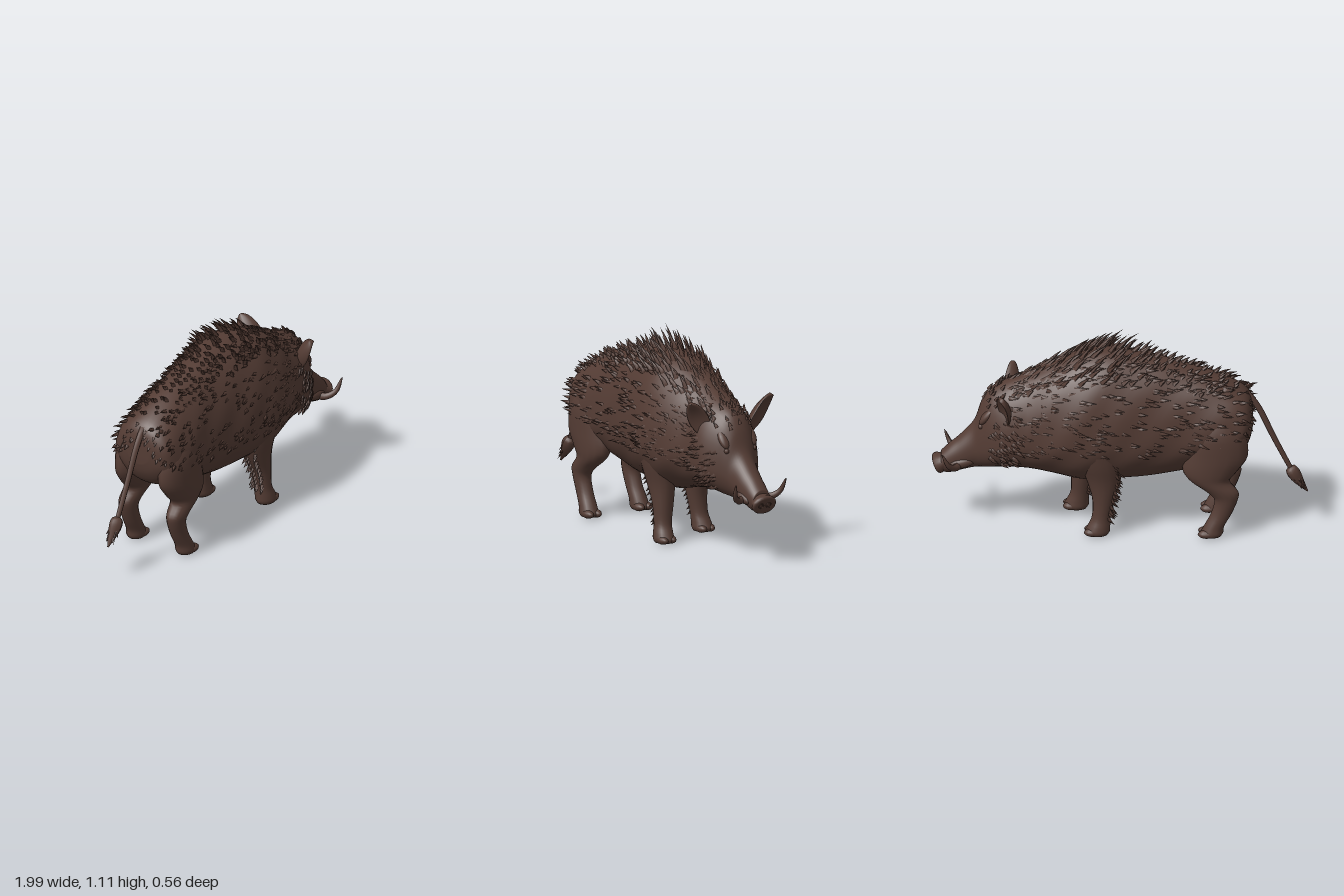
import * as THREE from 'three';
import { mergeGeometries } from 'three/addons/utils/BufferGeometryUtils.js';

const V = (x, y, z) => new THREE.Vector3(x, y, z);
const hide = new THREE.MeshStandardMaterial({ color: 0x543c34 });
hide.name = 'brown hide';

let seed = 7;
const rnd = (a = 0, b = 1) => {
  seed = (seed * 16807) % 2147483647;
  return a + (b - a) * seed / 2147483647;
};

// Joins geometries after dropping their unused texture coordinates
const merge = list => mergeGeometries(list.map(g => g.deleteAttribute('uv')));

// Catmull-Rom interpolation between rows of numbers
function spline(rows, steps) {
  const out = [], at = i => rows[Math.max(0, Math.min(rows.length - 1, i))];
  for (let i = 0; i < rows.length - 1; i++) for (let s = 0; s < steps; s++) {
    const t = s / steps;
    out.push(rows[i].map((p1, k) => {
      const p0 = at(i - 1)[k], p2 = at(i + 1)[k], p3 = at(i + 2)[k];
      return p1 + 0.5 * t * (p2 - p0 + t * (2 * p0 - 5 * p1 + 4 * p2 - p3 + t * (3 * (p1 - p2) + p3 - p0)));
    }));
  }
  out.push(rows[rows.length - 1]);
  return out;
}

// Closed skin over rings that run counter-clockwise about the loft direction
function loft(rings) {
  const n = rings[0].length, pos = rings.flat().flatMap(p => [p.x, p.y, p.z]), idx = [];
  for (let i = 0; i < rings.length - 1; i++) for (let j = 0; j < n; j++) {
    const a = i * n + j, b = i * n + (j + 1) % n;
    idx.push(a, b, a + n, b, b + n, a + n);
  }
  [0, rings.length - 1].forEach((r, end) => {
    const c = V(0, 0, 0), ci = pos.length / 3;
    rings[r].forEach(p => c.addScaledVector(p, 1 / n));
    pos.push(c.x, c.y, c.z);
    for (let j = 0; j < n; j++) {
      const a = r * n + j, b = r * n + (j + 1) % n;
      idx.push(...(end ? [ci, a, b] : [ci, b, a]));
    }
  });
  const g = new THREE.BufferGeometry();
  g.setAttribute('position', new THREE.Float32BufferAttribute(pos, 3));
  g.setIndex(idx);
  g.computeVertexNormals();
  return g;
}
const circle = (n, f) => Array.from({ length: n }, (_, j) => f(j / n * Math.PI * 2));

// Body and head stations: x, top, bottom, half width, height of widest point
const stations = spline([
  [-0.705, 0.71, 0.57, 0.07, 0.64], [-0.685, 0.77, 0.5, 0.15, 0.62], [-0.63, 0.82, 0.43, 0.19, 0.6],
  [-0.5, 0.885, 0.37, 0.208, 0.57], [-0.33, 0.94, 0.33, 0.207, 0.57], [-0.15, 0.985, 0.295, 0.222, 0.56],
  [0.05, 1.015, 0.28, 0.25, 0.55], [0.2, 0.995, 0.275, 0.26, 0.55], [0.35, 0.935, 0.31, 0.235, 0.54],
  [0.48, 0.87, 0.33, 0.198, 0.52], [0.6, 0.82, 0.335, 0.182, 0.5], [0.68, 0.775, 0.325, 0.145, 0.48],
  [0.73, 0.7, 0.32, 0.108, 0.46], [0.77, 0.585, 0.315, 0.084, 0.43], [0.84, 0.5, 0.297, 0.072, 0.39],
  [0.9, 0.445, 0.28, 0.064, 0.36], [0.945, 0.4, 0.285, 0.056, 0.34]], 5);

function skin([x, top, bot, w, mid], a) {
  const c = Math.cos(a), s = Math.sin(a);
  const lump = x < 0.5 ? 1 + 0.025 * Math.sin(x * 17 + 3 * a) * Math.sin(a * 4 + x * 9) : 1;
  return V(x, mid + c * (c > 0 ? top - mid : mid - bot), w * s * lump);
}
const stationAt = x => stations.find(s => s[0] >= x);

// One curved bristle, bending towards the tail
function bristle(p, dir, len, r, bend = 0.2) {
  const g = new THREE.ConeGeometry(r, len, 4, 3, true).translate(0, len / 2, 0);
  const q = g.attributes.position;
  for (let i = 0; i < q.count; i++) q.setX(i, q.getX(i) + bend * q.getY(i) ** 2 / len);
  g.computeVertexNormals();
  const y = dir.clone().normalize(), x = V(-1, 0, 0.01);
  x.addScaledVector(y, -x.dot(y)).normalize();
  return g.applyMatrix4(new THREE.Matrix4().makeBasis(x, y, x.clone().cross(y)).setPosition(p));
}

// Leg rows: x, y, z, half depth, half width
const frontRows = [[0.16, 0.7, 0.14, 0.06, 0.05], [0.165, 0.58, 0.165, 0.11, 0.085], [0.17, 0.44, 0.16, 0.11, 0.082],
  [0.18, 0.32, 0.145, 0.092, 0.07], [0.205, 0.21, 0.147, 0.06, 0.057], [0.215, 0.11, 0.154, 0.05, 0.048],
  [0.228, 0.055, 0.16, 0.06, 0.052], [0.236, 0.025, 0.162, 0.066, 0.054], [0.236, 0.007, 0.162, 0.055, 0.046]];
const hindRows = [[-0.52, 0.72, 0.12, 0.08, 0.05], [-0.525, 0.6, 0.135, 0.145, 0.08], [-0.515, 0.47, 0.14, 0.17, 0.08],
  [-0.485, 0.38, 0.145, 0.145, 0.073], [-0.485, 0.325, 0.15, 0.105, 0.063], [-0.55, 0.265, 0.155, 0.085, 0.052],
  [-0.57, 0.215, 0.155, 0.062, 0.045], [-0.545, 0.135, 0.155, 0.055, 0.043], [-0.508, 0.065, 0.158, 0.054, 0.047],
  [-0.495, 0.025, 0.16, 0.06, 0.05], [-0.492, 0.007, 0.16, 0.05, 0.042]];

function leg(rows, side, shift) {
  const placed = rows.map(([x, y, z, rx, rz]) => [x + shift * THREE.MathUtils.clamp((0.68 - y) / 0.45, 0, 1), y, z * side, rx, rz]);
  const parts = [loft(spline(placed, 4).map(([x, y, z, rx, rz]) =>
    circle(16, a => V(x + rx * Math.cos(a), y, z + rz * Math.sin(a)))))];
  const [x, , z] = placed[placed.length - 1];
  for (const s of [-1, 1])
    parts.push(new THREE.SphereGeometry(1, 12, 8).scale(0.046, 0.023, 0.027).translate(x + 0.025, 0.024, z + 0.025 * s));
  return { geo: merge(parts), placed };
}

// Cupped leaf-shaped ear from base to tip, hollow side along face
function ear(base, tip, face, width) {
  const y = tip.clone().sub(base), len = y.length();
  y.normalize();
  const z = face.clone().addScaledVector(y, -face.dot(y)).normalize();
  const rows = spline([[0, 0.6], [0.2, 0.85], [0.45, 1], [0.7, 0.88], [0.9, 0.55], [1, 0.15]], 3);
  const g = loft(rows.map(([t, w]) => circle(16, a => {
    const px = width * w * Math.sin(a);
    return V(px, t * len, 0.014 * Math.cos(a) + 11 * px * px * (1 - 0.5 * t) - 0.02 * Math.sin(t * Math.PI));
  })));
  return g.applyMatrix4(new THREE.Matrix4().makeBasis(y.clone().cross(z), y, z).setPosition(base));
}

// Tapered tube along a curve
function taper(points, radius) {
  const n = 14, curve = new THREE.CatmullRomCurve3(points);
  const g = new THREE.TubeGeometry(curve, n, 1, 8), p = g.attributes.position;
  for (let i = 0; i < p.count; i++) {
    const t = Math.floor(i / 9) / n, c = curve.getPointAt(t);
    const v = V(p.getX(i), p.getY(i), p.getZ(i)).sub(c).multiplyScalar(radius(t)).add(c);
    p.setXYZ(i, v.x, v.y, v.z);
  }
  g.computeVertexNormals();
  return g;
}

export function createModel() {
  const boar = new THREE.Group();
  boar.name = 'boar';
  const add = (name, geo, parent = boar) => {
    const m = new THREE.Mesh(geo, hide);
    m.name = name;
    parent.add(m);
  };
  add('bodyAndHead', loft(stations.map(s => circle(40, a => skin(s, a)))));

  // Legs, with shaggy backs on the front pair
  const fringe = [];
  for (const [side, shift, label] of [[1, 0, 'Left'], [-1, -0.125, 'Right']]) {
    const front = leg(frontRows, side, shift);
    add('frontLeg' + label, front.geo);
    add('hindLeg' + label, leg(hindRows, side, 0).geo);
    for (const [x, y, z, rx, rz] of spline(front.placed.slice(2, 6), 4)) for (const k of [-0.6, 0, 0.6])
      fringe.push(bristle(V(x - rx * 0.85 * Math.cos(k), y + rnd(-0.01, 0.01), z + rz * 0.9 * Math.sin(k)),
        V(-0.6, -0.8, k * 0.4), rnd(0.035, 0.055), 0.012));
  }
  add('legFringe', merge(fringe));

  // Coat bristles lying back over the flanks
  const coat = [];
  for (let i = 0; i < 560; i++) {
    const s = stationAt(rnd(-0.68, 0.58)), a = rnd(0.35, 1.85) * (i % 2 ? 1 : -1), p = skin(s, a);
    p.z *= 0.97;
    coat.push(bristle(p, V(-0.8, 0.45 * Math.cos(a) + rnd(-0.3, 0.15), rnd(0.35, 0.6) * Math.sin(a)), rnd(0.04, 0.07), rnd(0.009, 0.014)));
  }
  // Rump bristles
  for (let i = 0; i < 30; i++) {
    const p = skin(stations[Math.floor(rnd(0, 8))], rnd(-1.8, 1.8));
    coat.push(bristle(p, V(-0.6, -0.6, p.z * 3), rnd(0.02, 0.03), 0.01));
  }
  add('coatBristles', merge(coat));

  // Mane along the spine, tallest over the shoulders
  const mane = [];
  for (let x = -0.6; x < 0.58; x += 0.036) for (const a of [-0.62, -0.42, -0.22, 0, 0.22, 0.42, 0.62]) {
    const p = skin(stationAt(x + rnd(-0.018, 0.018)), a + rnd(-0.1, 0.1));
    p.y -= 0.015;
    const h = (0.055 + 0.1 * Math.exp(-(((x - 0.12) / 0.28) ** 2))) * (1 - 0.6 * Math.abs(a)) * rnd(0.75, 1.15);
    mane.push(bristle(p, V(-0.5 + rnd(-0.15, 0.15), 0.85, a * 0.6 + rnd(-0.1, 0.1)), h, 0.017, 0.25));
  }
  add('mane', merge(mane));

  // Cheek ruff and brow tufts
  const ruff = [];
  for (let i = 0; i < 90; i++) {
    const a = rnd(1.1, 2.3) * (i % 2 ? 1 : -1), p = skin(stationAt(rnd(0.52, 0.69)), a);
    p.z *= 0.97;
    ruff.push(bristle(p, V(-0.6, -0.4, 0.6 * Math.sin(a)), rnd(0.035, 0.06), 0.014));
  }
  for (let i = 0; i < 36; i++) {
    const p = skin(stationAt(rnd(0.58, 0.72)), rnd(-0.8, 0.8));
    ruff.push(bristle(p, V(-0.3, 0.8, p.z * 3), rnd(0.025, 0.045), 0.012));
  }
  add('cheekRuff', merge(ruff));

  // Ears
  add('earLeft', ear(V(0.58, 0.66, 0.115), V(0.575, 0.83, 0.215), V(0.75, 0, 0.65), 0.056));
  add('earRight', ear(V(0.59, 0.65, -0.13), V(0.615, 0.83, -0.275), V(0.8, 0, -0.6), 0.062));

  // Snout disc with nostrils
  const snout = new THREE.Group();
  snout.name = 'snout';
  const disc = [[0, -0.06], [0.052, -0.06], [0.056, -0.02], [0.066, -0.004], [0.067, 0.01], [0.058, 0.02], [0.045, 0.016], [0, 0.014]];
  add('snoutDisc', new THREE.LatheGeometry(disc.map(p => new THREE.Vector2(...p)), 24).scale(0.82, 1, 1.07), snout);
  for (const s of [-1, 1])
    add('nostril', new THREE.TorusGeometry(0.013, 0.004, 8, 14).rotateX(Math.PI / 2).translate(0, 0.014, 0.024 * s), snout);
  snout.position.set(0.957, 0.332, 0);
  snout.rotation.z = -Math.PI / 2 - 0.42;
  boar.add(snout);

  // Tusks, lips, eyes and brows on both sides
  for (const [s, label] of [[1, 'Left'], [-1, 'Right']]) {
    add('tusk' + label, taper([V(0.85, 0.345, 0.055 * s), V(0.87, 0.345, 0.1 * s), V(0.9, 0.375, 0.14 * s), V(0.935, 0.45, 0.158 * s)],
      t => 0.022 * (1 - t) ** 0.6 + 0.001));
    add('lip' + label, new THREE.SphereGeometry(1, 14, 10).scale(0.075, 0.03, 0.028).rotateZ(-0.25).translate(0.835, 0.355, 0.055 * s));
    add('eye' + label, new THREE.SphereGeometry(0.014, 12, 8).translate(0.732, 0.585, 0.086 * s));
    add('brow' + label, new THREE.SphereGeometry(1, 14, 10).scale(0.06, 0.022, 0.03).rotateZ(-0.9).translate(0.7, 0.645, 0.085 * s));
  }

  // Tail with a tufted end
  add('tail', taper([V(-0.67, 0.77, 0.01), V(-0.73, 0.69, 0.012), V(-0.82, 0.5, 0.012), V(-0.92, 0.3, 0.012)], t => 0.018 - 0.005 * t));
  const tuft = [taper([V(-0.9, 0.34, 0.012), V(-0.94, 0.27, 0.012), V(-0.995, 0.195, 0.012)], t => 0.004 + 0.032 * Math.sin(Math.PI * Math.sqrt(t)))];
  for (let i = 0; i < 24; i++) {
    const t = rnd(), a = rnd(0, 6.28), c = Math.cos(a), r = 0.024 * (1 - t * 0.7);
    tuft.push(bristle(V(-0.925 - 0.04 * t + c * r, 0.3 - 0.06 * t + c * r * 0.5, 0.012 + Math.sin(a) * r),
      V(-0.5 + 0.25 * c, -0.8, 0.45 * Math.sin(a)), rnd(0.03, 0.05), 0.009, 0));
  }
  add('tailTuft', merge(tuft));
  return boar;
}
